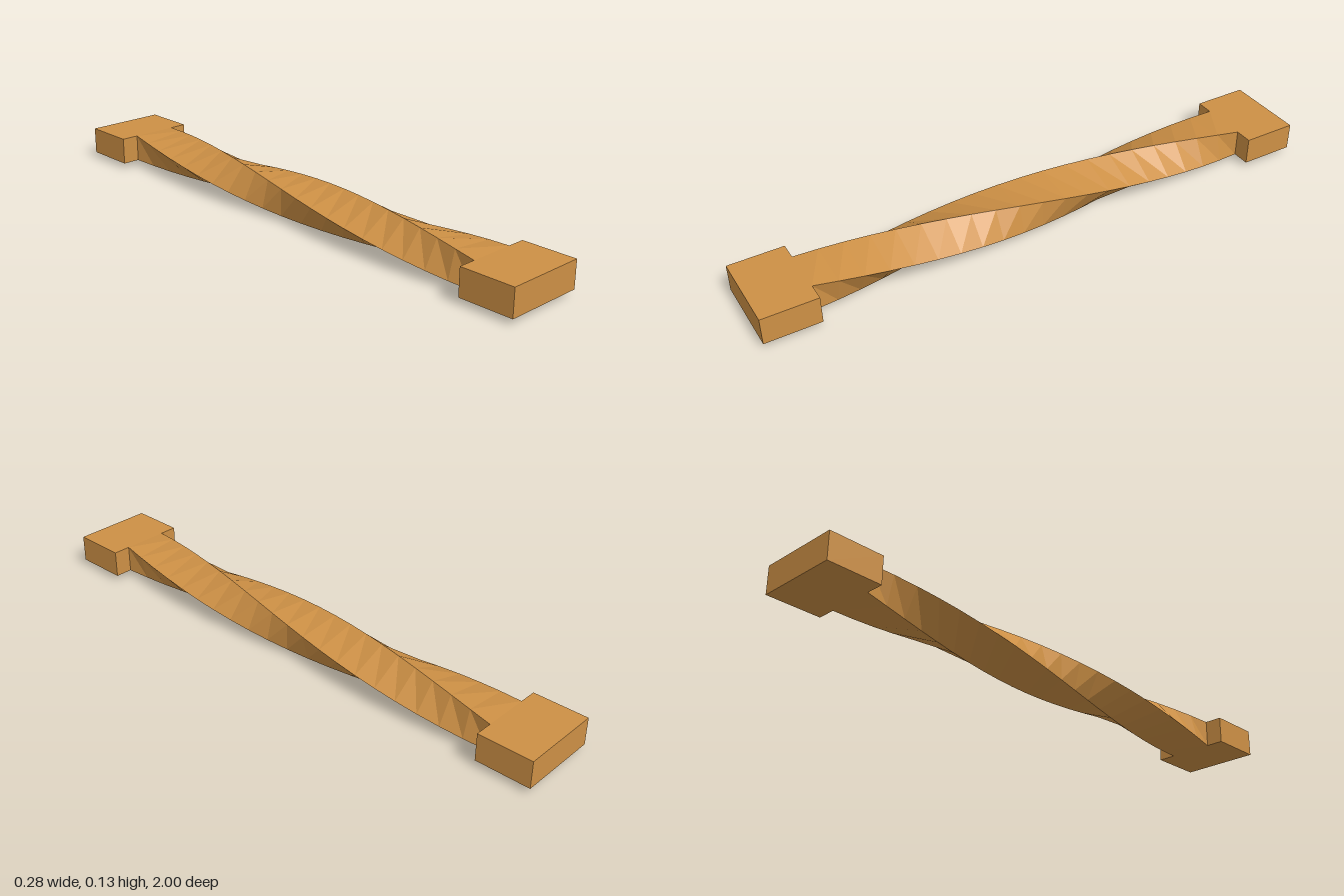
import * as THREE from 'three';

const CENTER_Y = 0.068;
const BAR_HALF = 0.81; // half length of the twisted bar
const STEPS = 20;

// Square bar turned half a revolution along z, then flattened to its oblong section
function twistedBar() {
  const box = new THREE.BoxGeometry(2, 2, 2 * BAR_HALF, 1, 1, STEPS);
  const p = box.attributes.position;
  for (let i = 0; i < p.count; i++) {
    const a = (p.getZ(i) / BAR_HALF) * (Math.PI / 2);
    const x = p.getX(i), y = p.getY(i);
    p.setXY(
      i,
      0.08 * (x * Math.cos(a) - y * Math.sin(a)),
      0.0475 * (x * Math.sin(a) + y * Math.cos(a))
    );
  }
  const flat = box.toNonIndexed(); // separate facets
  flat.computeVertexNormals();
  return flat;
}

export function createModel() {
  const group = new THREE.Group();
  const wood = new THREE.MeshStandardMaterial({ color: 0xcd9045 });
  wood.name = 'warm wood';

  const add = (name, geometry, z) => {
    const mesh = new THREE.Mesh(geometry, wood);
    mesh.name = name;
    mesh.position.set(0, CENTER_Y, z);
    group.add(mesh);
  };

  add('twistedBar', twistedBar(), 0);

  // Wide rectangular blocks at both ends
  const block = new THREE.BoxGeometry(0.284, 0.095, 1 - BAR_HALF);
  const blockZ = (1 + BAR_HALF) / 2;
  add('frontEndBlock', block, blockZ);
  add('backEndBlock', block, -blockZ);

  return group;
}
